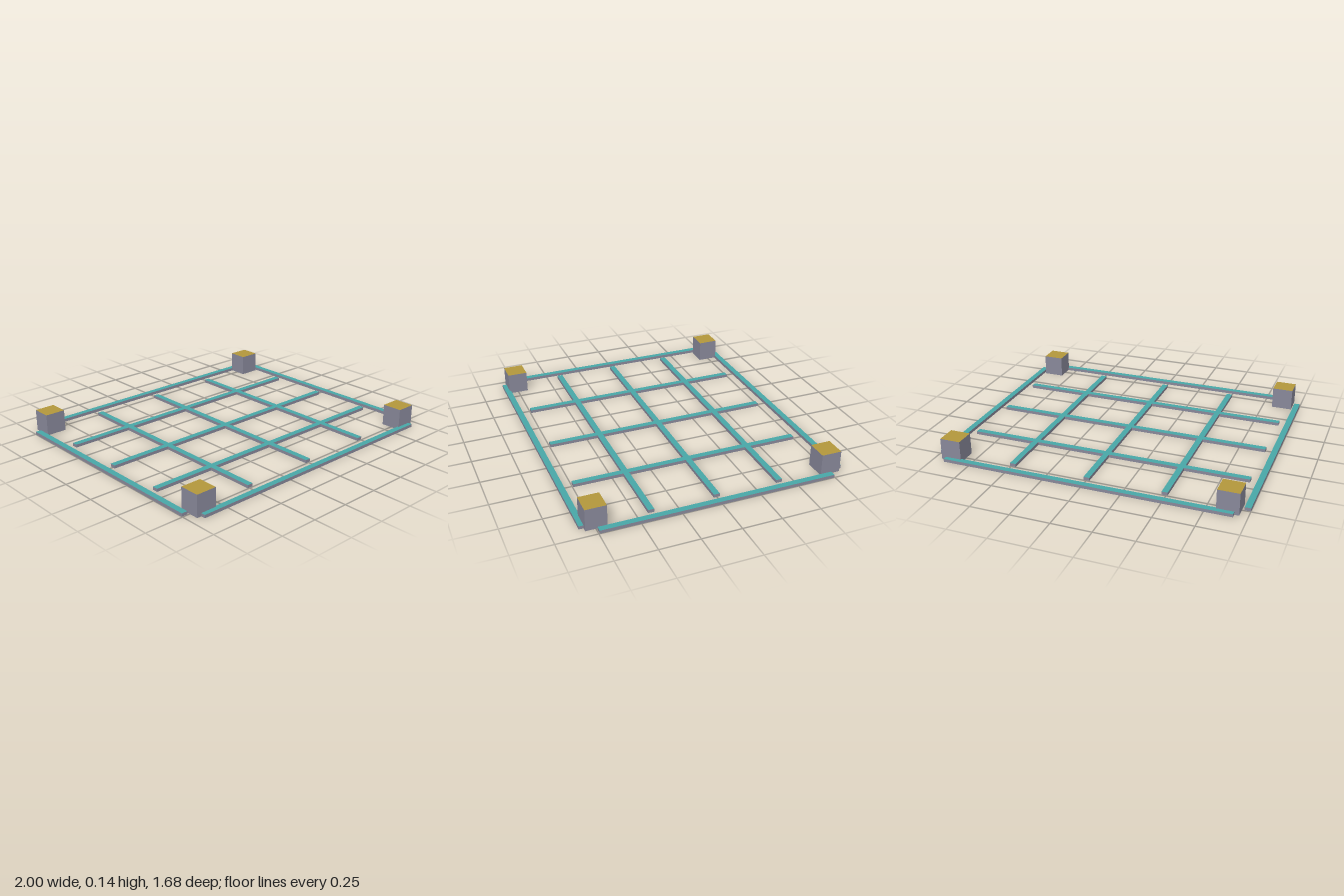
import * as THREE from 'three';

const paint = (color) => new THREE.MeshStandardMaterial({ color });

export function createModel() {
  const model = new THREE.Group();
  model.name = 'gridFrame';

  const side = paint(0x88889a);
  const teal = paint(0x48a8a8);
  const gold = paint(0xb3983c);

  // Box standing on the ground, with a coloured top and grey sides
  function block(name, w, h, d, x, z, top) {
    const mesh = new THREE.Mesh(
      new THREE.BoxGeometry(w, h, d),
      [side, side, top, side, side, side]
    );
    mesh.position.set(x, h / 2, z);
    mesh.name = name;
    model.add(mesh);
  }

  const barWidth = 0.038, barHeight = 0.02;
  for (let i = -2; i <= 2; i++) {
    // Bars running left to right
    block('crossBar', 1.84, barHeight, barWidth, 0, i * 0.411, teal);
    // Bars running front to back
    block('lengthBar', barWidth, barHeight, 1.49, i * 0.4905, 0, teal);
  }

  // Corner blocks
  for (const sx of [-1, 1]) {
    for (const sz of [-1, 1]) {
      block('cornerBlock', 0.134, 0.14, 0.13, sx * 0.882, sz * 0.747, gold);
    }
  }
  return model;
}
